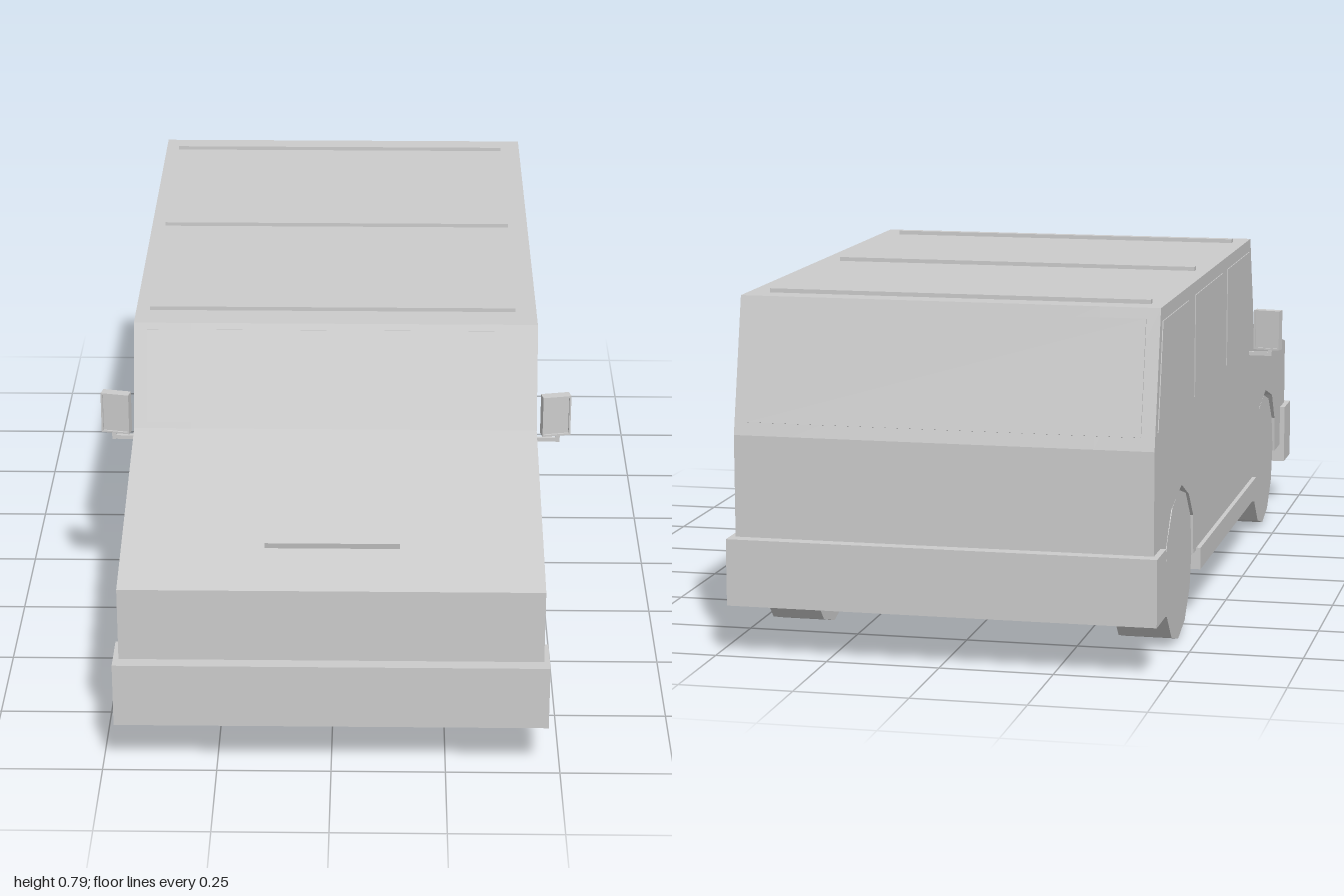
import * as THREE from 'three';

const material = new THREE.MeshStandardMaterial({ color: 0xcccccc, flatShading: true });

function add(parent, name, geometry, x = 0, y = 0, z = 0) {
  const mesh = new THREE.Mesh(geometry, material);
  mesh.name = name;
  mesh.position.set(x, y, z);
  parent.add(mesh);
  return mesh;
}

const box = (w, h, d) => new THREE.BoxGeometry(w, h, d);

// Extrudes a side profile of [z, y] points from x0 to x1
function sideExtrude(points, x0, x1) {
  const shape = new THREE.Shape(points.map(([z, y]) => new THREE.Vector2(z, y)));
  const geometry = new THREE.ExtrudeGeometry(shape, { depth: x1 - x0, bevelEnabled: false });
  return geometry.rotateY(-Math.PI / 2).translate(x1, 0, 0);
}

export function createModel() {
  const model = new THREE.Group();
  model.name = 'offRoadVehicle';

  // Body: plain centre, with wheel arches cut into the outer slabs
  const upper = [[0.97, 0.16], [0.97, 0.43], [0.405, 0.55], [0.33, 0.78], [-0.905, 0.78], [-0.97, 0.485], [-0.97, 0.16]];
  const rearArch = [[-0.83, 0.16], [-0.825, 0.25], [-0.765, 0.32], [-0.635, 0.35], [-0.54, 0.31], [-0.48, 0.25], [-0.475, 0.16]];
  const frontArch = [[0.445, 0.16], [0.445, 0.25], [0.515, 0.325], [0.625, 0.352], [0.74, 0.32], [0.79, 0.25], [0.80, 0.16]];
  add(model, 'bodyCentre', sideExtrude(upper, -0.33, 0.33));
  const sideProfile = [...upper, ...rearArch, ...frontArch];
  add(model, 'bodySideLeft', sideExtrude(sideProfile, 0.33, 0.46));
  add(model, 'bodySideRight', sideExtrude(sideProfile, -0.46, -0.33));

  // Bumpers and floor with side sills
  add(model, 'frontBumper', box(0.945, 0.147, 0.108), 0, 0.188, 0.946);
  add(model, 'rearBumper', box(0.945, 0.147, 0.108), 0, 0.188, -0.946);
  add(model, 'floorSill', box(0.94, 0.05, 0.845), 0, 0.14, -0.013);

  // Raised bonnet panel
  add(model, 'bonnetPanel', box(0.295, 0.02, 0.3), 0, 0.495, 0.682).rotation.x = 0.209;

  // Windscreen and rear window
  add(model, 'windscreen', box(0.86, 0.212, 0.008), 0, 0.665, 0.3675).rotation.x = -0.315;
  add(model, 'rearWindow', box(0.86, 0.25, 0.008), 0, 0.635, -0.937).rotation.x = 0.217;

  // Roof bars
  for (const z of [0.245, -0.29, -0.84]) add(model, 'roofBar', box(0.84, 0.014, 0.02), -0.008, 0.782, z);

  const sideWindows = {
    frontSideWindow: [[0.375, 0.52], [0.305, 0.75], [-0.03, 0.75], [-0.03, 0.52]],
    middleSideWindow: [[-0.1, 0.52], [-0.1, 0.75], [-0.48, 0.75], [-0.48, 0.52]],
    rearSideWindow: [[-0.57, 0.52], [-0.57, 0.75], [-0.885, 0.75], [-0.935, 0.52]],
  };

  for (const side of [1, -1]) {
    const label = side > 0 ? 'Left' : 'Right';

    // Side windows
    for (const [name, points] of Object.entries(sideWindows)) {
      const x = side * 0.46;
      add(model, name + label, sideExtrude(points, x - 0.002, x + 0.002));
    }

    // Twelve-sided wheels
    for (const [name, z] of [['frontWheel', 0.627], ['rearWheel', -0.637]]) {
      const wheel = new THREE.CylinderGeometry(0.168, 0.168, 0.118, 12).rotateZ(Math.PI / 2);
      add(model, name + label, wheel, side * 0.396, 0.17, z);
    }

    // Door mirror: angled head with a rim, on a bent arm
    const mirror = new THREE.Group();
    mirror.name = 'mirror' + label;
    add(mirror, 'mirrorArm', box(0.06, 0.009, 0.009), side * 0.487, 0.494, 0.33);
    add(mirror, 'mirrorPost', box(0.009, 0.02, 0.009), side * 0.513, 0.499, 0.33);
    const head = new THREE.Group();
    head.name = 'mirrorHead';
    head.position.set(side * 0.507, 0.555, 0.327);
    head.rotation.y = side * 0.2;
    add(head, 'mirrorShell', box(0.066, 0.098, 0.014));
    for (const s of [1, -1]) {
      add(head, 'mirrorRim', box(0.004, 0.098, 0.024), s * 0.031, 0, 0);
      add(head, 'mirrorRim', box(0.066, 0.004, 0.024), 0, s * 0.047, 0);
    }
    mirror.add(head);
    model.add(mirror);
  }
  return model;
}
